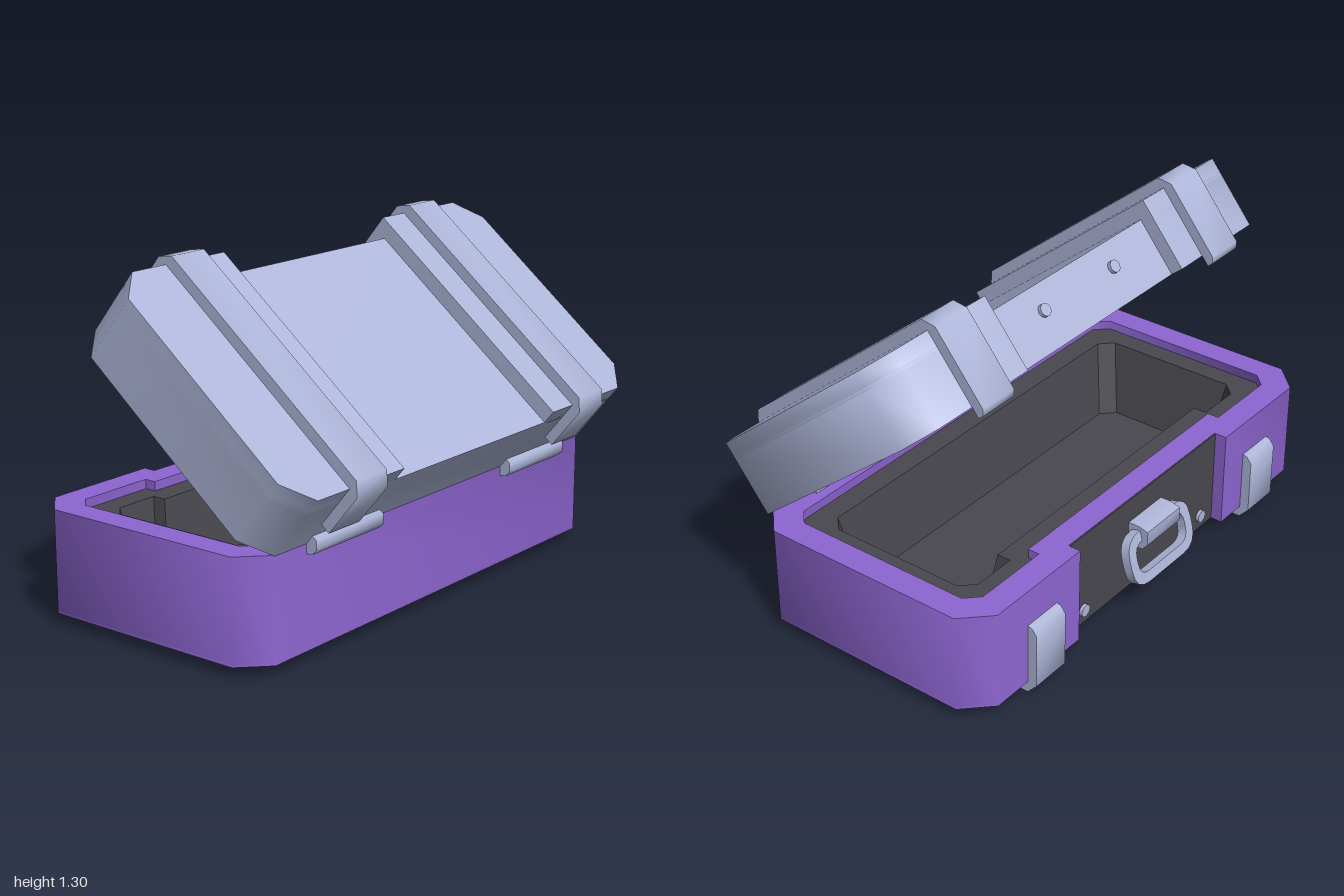
import * as THREE from 'three';
import { toCreasedNormals } from 'three/addons/utils/BufferGeometryUtils.js';

const material = (name, color, side = THREE.FrontSide) => {
  const m = new THREE.MeshStandardMaterial({ color, side });
  m.name = name;
  return m;
};

// Footprint in (x, z): chamfered corners and a notch in the front (-x) side
function outline(x0, x1, hz, c, notch, half) {
  const side = [[x0 + notch, half], [x0, half], [x0, hz - c], [x0 + c, hz], [x1 - c, hz], [x1, hz - c]];
  const other = side.map(([x, z]) => [x, -z]).reverse();
  return [...side, ...other].map(([x, z]) => new THREE.Vector2(x, z));
}

const crease = (g) => toCreasedNormals(g, 0.9);

// Upright slab from y0 to y1; the hole runs against the outline so its walls face inwards
function slab(points, y0, y1, hole) {
  const shape = new THREE.Shape(points);
  if (hole) shape.holes.push(new THREE.Path([...hole].reverse()));
  const g = new THREE.ExtrudeGeometry(shape, { depth: y1 - y0, bevelEnabled: false });
  return crease(g.rotateX(-Math.PI / 2).translate(0, y0, 0));
}

// Profile in (x, y) swept from z0 to z1
function sweep(coords, z0, z1) {
  const shape = new THREE.Shape(coords.map(([x, y]) => new THREE.Vector2(x, y)));
  const g = new THREE.ExtrudeGeometry(shape, { depth: z1 - z0, bevelEnabled: false });
  return crease(g.translate(0, 0, z0));
}

// Band of faces between two footprints at their own heights
function band(a, ya, b, yb) {
  const pos = [];
  a.forEach((p, i) => {
    const j = (i + 1) % a.length;
    const A = [p.x, ya, p.y], B = [a[j].x, ya, a[j].y];
    const C = [b[j].x, yb, b[j].y], D = [b[i].x, yb, b[i].y];
    pos.push(...A, ...B, ...C, ...A, ...C, ...D);
  });
  const g = new THREE.BufferGeometry();
  g.setAttribute('position', new THREE.Float32BufferAttribute(pos, 3));
  g.computeVertexNormals();
  return g;
}

function roundedRect(path, w, h, r) {
  const x = w / 2, y = h / 2;
  path.moveTo(-x + r, -y);
  path.lineTo(x - r, -y).quadraticCurveTo(x, -y, x, -y + r);
  path.lineTo(x, y - r).quadraticCurveTo(x, y, x - r, y);
  path.lineTo(-x + r, y).quadraticCurveTo(-x, y, -x, y - r);
  path.lineTo(-x, -y + r).quadraticCurveTo(-x, -y, -x + r, -y);
  return path;
}

export function createModel() {
  const purple = material('purple shell', 0x8e66d2);
  const steel = material('pale steel', 0xaeb6d9);
  const dark = material('dark lining', 0x49484f, THREE.DoubleSide);

  const model = new THREE.Group();
  model.name = 'openCase';
  const base = new THREE.Group();
  base.name = 'base';
  const lid = new THREE.Group();
  lid.name = 'lid';
  model.add(base, lid);

  const add = (parent, name, geometry, mat) => {
    const mesh = new THREE.Mesh(geometry, mat);
    mesh.name = name;
    parent.add(mesh);
    return mesh;
  };
  // Flat ledge under the rim, sloping walls and a floor
  const lining = (parent, name, rim, inner, yLedge, floor, yFloor) => {
    add(parent, name + 'Ledge', band(rim, yLedge, inner, yLedge), dark);
    add(parent, name + 'Walls', band(inner, yLedge, floor, yFloor), dark);
    const g = new THREE.ShapeGeometry(new THREE.Shape(floor)).rotateX(-Math.PI / 2);
    add(parent, name + 'Floor', g.translate(0, yFloor, 0), dark);
  };
  const screw = (parent, name, x, y, z) => {
    const g = new THREE.CylinderGeometry(0.024, 0.024, 0.03, 10).rotateZ(Math.PI / 2);
    add(parent, name, g.translate(x, y, z), steel);
  };

  // Base shell, floor and lining
  const foot = outline(-0.575, 0.424, 1, 0.1, 0.05, 0.45);
  const opening = outline(-0.475, 0.325, 0.9, 0.05, 0.045, 0.55);
  add(base, 'baseShell', slab(foot, 0.052, 0.42, opening), purple);
  add(base, 'baseBottom', slab(foot, 0.043, 0.052), purple);
  lining(base, 'baseLining', opening, outline(-0.39, 0.24, 0.82, 0.05, 0.053, 0.6), 0.385,
    outline(-0.34, 0.19, 0.77, 0.05, 0.053, 0.64), 0.1);

  // Dark plate in the front recess
  add(base, 'frontPlate', new THREE.BoxGeometry(0.006, 0.375, 0.898).translate(-0.527, 0.231, 0), dark);

  // Carrying handle: mount and hanging ring
  add(base, 'handleMount', sweep([[-0.525, 0.235], [-0.525, 0.325], [-0.575, 0.325], [-0.612, 0.315],
    [-0.612, 0.26], [-0.59, 0.235]], -0.1, 0.1), steel);
  const ringShape = roundedRect(new THREE.Shape(), 0.375, 0.2, 0.08);
  ringShape.holes.push(roundedRect(new THREE.Path(), 0.295, 0.12, 0.05));
  const ringGeo = new THREE.ExtrudeGeometry(ringShape, { depth: 0.036, bevelEnabled: false, curveSegments: 4 });
  ringGeo.translate(0, 0, -0.018).rotateY(-Math.PI / 2);
  const ring = add(base, 'handleRing', crease(ringGeo), steel);
  ring.position.set(-0.589, 0.21, 0);
  ring.rotation.z = -0.28;

  // Lid, in hinge coordinates (hinge line at x = 0, y = 0)
  lid.position.set(0.424, 0.417, 0);
  lid.rotation.z = -0.682;
  const lidFoot = outline(-0.998, 0, 1, 0.1, 0.055, 0.45);
  const lidOpening = outline(-0.895, -0.095, 0.9, 0.05, 0.045, 0.55);
  add(lid, 'lidShell', slab(lidFoot, 0, 0.215, lidOpening), steel);
  add(lid, 'lidTop', slab(lidFoot, 0.215, 0.226), steel);
  lining(lid, 'lidLining', lidOpening, outline(-0.81, -0.18, 0.82, 0.05, 0.053, 0.6), 0.035,
    outline(-0.77, -0.22, 0.78, 0.05, 0.053, 0.63), 0.19);

  for (const s of [-1, 1]) {
    const span = (a, b) => (s > 0 ? [a, b] : [-b, -a]);

    // Raised lid ends
    const end = [[-0.998, 0.45], [-0.998, 0.9], [-0.898, 1], [-0.1, 1], [0, 0.9], [0, 0.45]];
    add(lid, 'lidEnd', slab(end.map(([x, z]) => new THREE.Vector2(x, s * z)), 0.226, 0.283), steel);

    // Strap wrapped round the lid
    add(lid, 'lidStrap', sweep([[0.039, 0.1], [0.039, 0.283], [0, 0.324], [-0.998, 0.324], [-1.038, 0.281],
      [-1.038, -0.022], [-1.02, -0.042], [-0.998, -0.042], [-0.998, 0.283], [0, 0.283], [0, 0.1]],
    ...span(0.58, 0.74)), steel);

    // Clasp and foot on the base
    add(base, 'frontClasp', sweep([[-0.575, 0.28], [-0.593, 0.275], [-0.612, 0.25], [-0.612, 0.04], [-0.575, 0],
      [-0.44, 0], [-0.395, 0.044], [-0.575, 0.044]], ...span(0.58, 0.74)), steel);

    // Hinge barrel
    add(base, 'hinge', sweep([[0.365, 0.418], [0.365, 0.44], [0.385, 0.456], [0.44, 0.456], [0.465, 0.435],
      [0.465, 0.4], [0.447, 0.383], [0.418, 0.383], [0.418, 0.418]], ...span(0.38, 0.74)), steel);

    screw(base, 'baseScrew', -0.527, 0.1, s * 0.365);
    screw(lid, 'lidScrew', -0.943, 0.135, s * 0.2);
  }
  return model;
}
